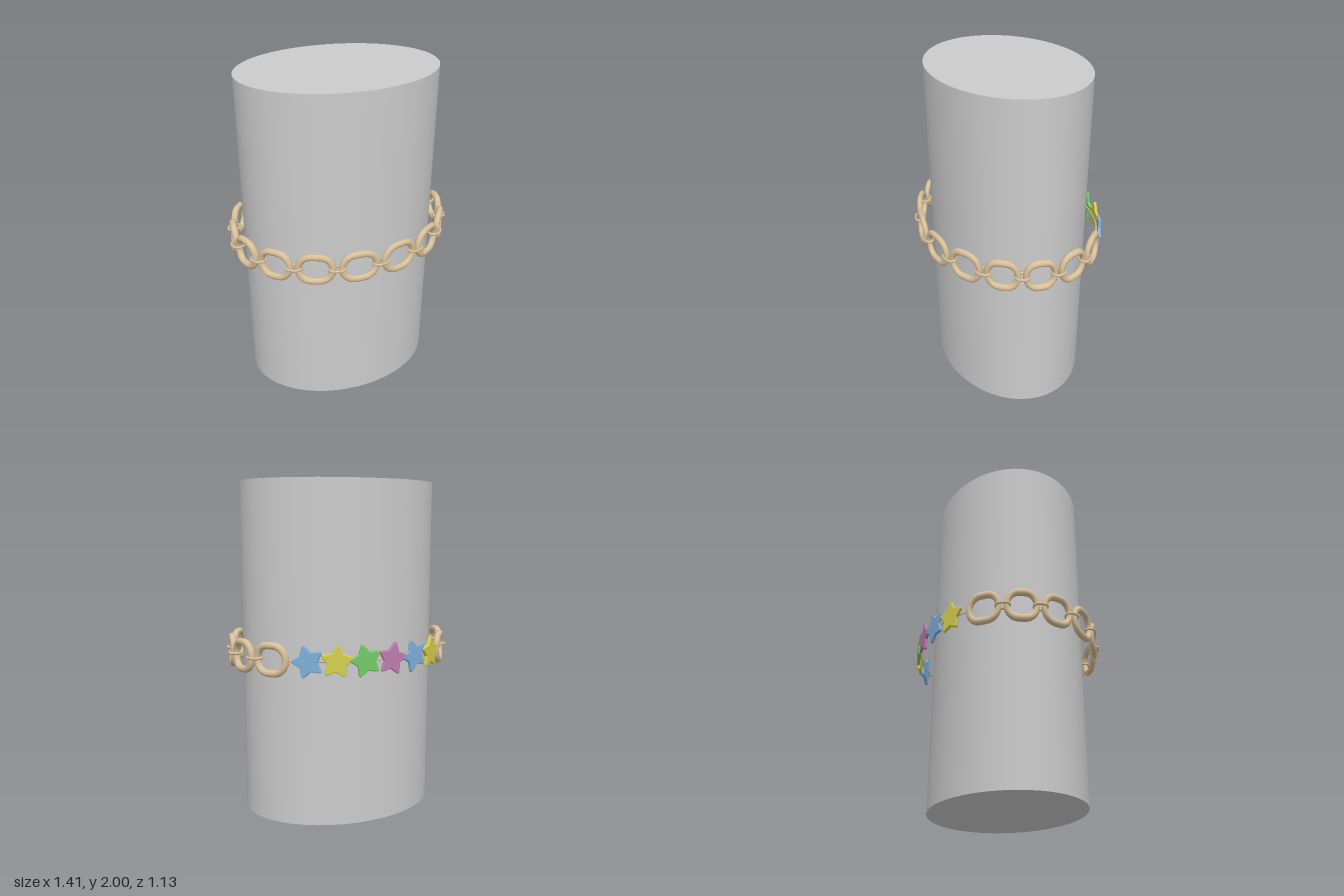
import * as THREE from 'three';

const RING = 0.665;                    // ring radius before it is squashed into an ellipse
const STEP = Math.PI / 8;              // angle from one chain link to the next
const MIDDLE = THREE.MathUtils.degToRad(86); // angle of the middle connector

const material = (color) => new THREE.MeshStandardMaterial({ color });

// Oval of half-length a + flat and half-height b, as a closed curve
function ovalCurve(flat, radius, toPoint) {
  const points = [];
  for (let i = 0; i < 24; i++) {
    const t = ((i + 0.5) / 24) * Math.PI * 2;
    points.push(toPoint(Math.cos(t) * radius + Math.sign(Math.cos(t)) * flat, Math.sin(t) * radius));
  }
  return new THREE.CatmullRomCurve3(points, true);
}

// Five-pointed star with blunt tips and soft edges
function starGeometry(outer, inner) {
  const corner = (i) => {
    const r = i % 2 ? inner : outer;
    const t = Math.PI / 2 + (i * Math.PI) / 5;
    return new THREE.Vector2(Math.cos(t) * r, Math.sin(t) * r);
  };
  const shape = new THREE.Shape();
  for (let i = 0; i < 10; i += 2) {
    const tip = corner(i);
    const before = tip.clone().lerp(corner(i + 9), 0.15);
    const after = tip.clone().lerp(corner(i + 1), 0.15);
    if (i === 0) shape.moveTo(before.x, before.y);
    else shape.lineTo(before.x, before.y);
    shape.quadraticCurveTo(tip.x, tip.y, after.x, after.y);
    const valley = corner(i + 1);
    shape.lineTo(valley.x, valley.y);
  }
  shape.closePath();
  const geometry = new THREE.ExtrudeGeometry(shape, {
    depth: 0.01, bevelEnabled: true, bevelThickness: 0.006, bevelSize: 0.006, bevelSegments: 2, curveSegments: 4,
  });
  return geometry.translate(0, 0, -0.005);
}

// Puts a part on the ring, its local z facing outwards
function placeOnRing(part, angle, radius = RING) {
  part.position.set(Math.cos(angle) * radius, 0, Math.sin(angle) * radius);
  part.rotation.y = Math.PI / 2 - angle;
  return part;
}

export function createModel() {
  const model = new THREE.Group();
  model.name = 'braceletOnStand';

  // Oval display stand
  const stand = new THREE.Mesh(new THREE.CylinderGeometry(0.6, 0.6, 2, 96), material(0xcccccc));
  stand.name = 'stand';
  stand.scale.z = 0.755;
  stand.position.set(0, 1, -0.005);
  model.add(stand);

  // Bracelet, built as a circle and squashed to follow the stand
  const bracelet = new THREE.Group();
  bracelet.name = 'bracelet';
  bracelet.position.set(0, 1, -0.008);
  bracelet.scale.z = 0.805;
  model.add(bracelet);

  const gold = material(0xd8c09a);

  // Large upright links, bent along the ring
  const linkCurve = ovalCurve(0.025, 0.079, (x, y) => new THREE.Vector3(
    Math.sin(x / RING) * RING, y, (Math.cos(x / RING) - 1) * RING));
  const linkGeometry = new THREE.TubeGeometry(linkCurve, 64, 0.021, 12, true);
  for (let i = 0; i < 12; i++) {
    const link = new THREE.Mesh(linkGeometry, gold);
    link.name = 'chainLink';
    bracelet.add(placeOnRing(link, MIDDLE + (i - 5.5) * STEP));
  }

  // Thin flat connectors between the links
  const connectorCurve = ovalCurve(0.013, 0.035, (x, z) => new THREE.Vector3(x, 0, z));
  const connectorGeometry = new THREE.TubeGeometry(connectorCurve, 40, 0.008, 8, true);
  for (let i = -5; i <= 5; i++) {
    const connector = new THREE.Mesh(connectorGeometry, gold);
    connector.name = 'connector';
    bracelet.add(placeOnRing(connector, MIDDLE + i * STEP));
  }

  // Cord across the back, from one end link to the other
  const back = MIDDLE + Math.PI;
  const cordPoints = [];
  for (let i = -8; i <= 8; i++) {
    const t = back + (i / 8) * 0.82;
    cordPoints.push(new THREE.Vector3(Math.cos(t) * RING, 0, Math.sin(t) * RING));
  }
  const cord = new THREE.Mesh(
    new THREE.TubeGeometry(new THREE.CatmullRomCurve3(cordPoints), 48, 0.005, 8), gold);
  cord.name = 'cord';
  bracelet.add(cord);

  // Coloured star beads along the cord
  const yellow = material(0xd6cf4e);
  const blue = material(0x7fb0dc);
  const pink = material(0xc07fb0);
  const green = material(0x74cc68);
  const rolls = [0, 0.35, -0.2, 0.25, -0.1, 0.3];
  const beadGeometry = starGeometry(0.095, 0.051);
  [yellow, blue, pink, green, yellow, blue].forEach((color, i) => {
    const holder = new THREE.Group();
    holder.name = 'starBead';
    const bead = new THREE.Mesh(beadGeometry, color);
    bead.name = 'star';
    bead.rotation.z = rolls[i];
    holder.add(bead);
    bracelet.add(placeOnRing(holder, back + (i - 2.5) * 0.246, 0.678));
  });

  return model;
}
